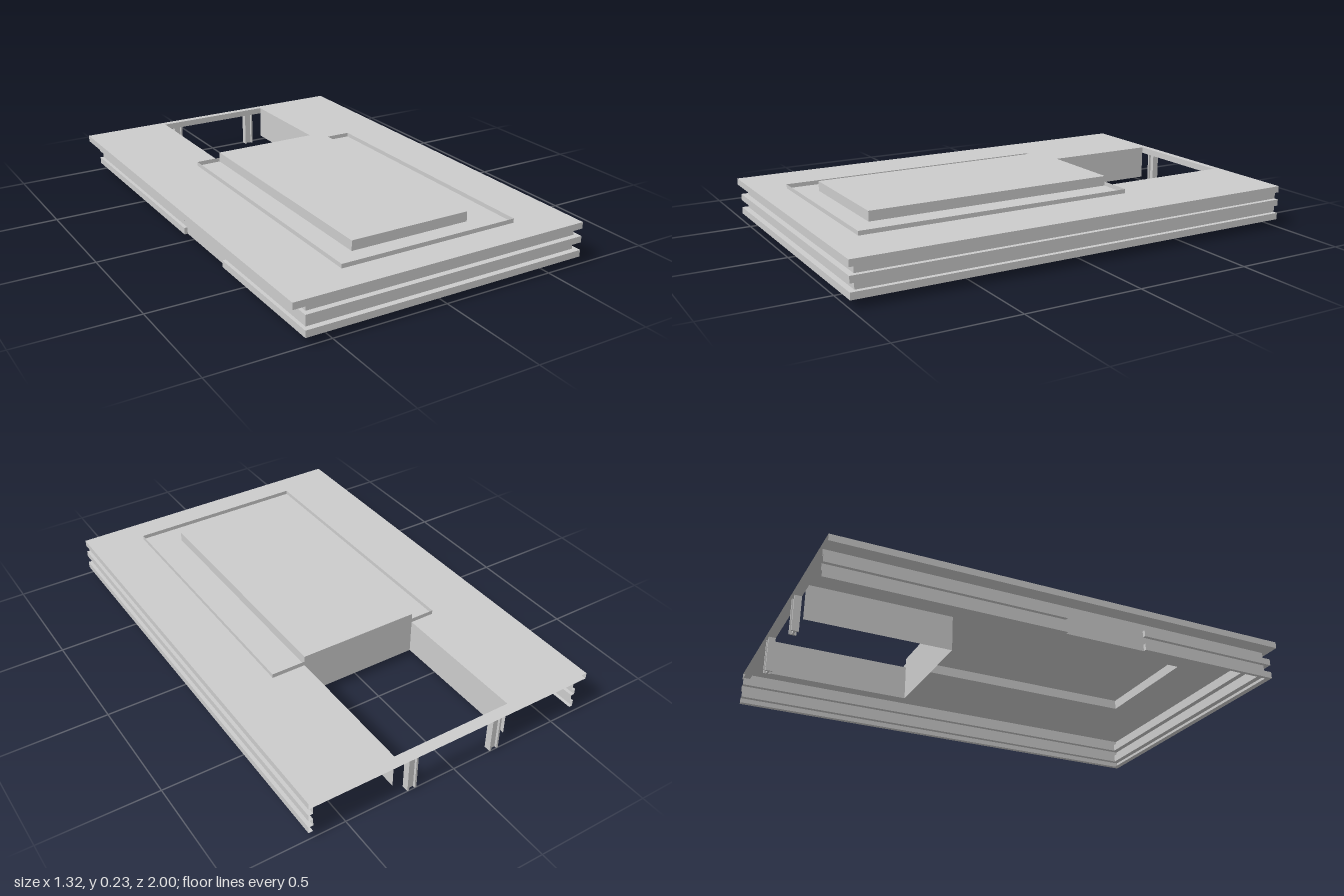
import * as THREE from 'three';

const mat = new THREE.MeshStandardMaterial({ color: 0xcccccc, flatShading: true, side: THREE.DoubleSide });

function add(parent, name, geo) {
  const mesh = new THREE.Mesh(geo, mat);
  mesh.name = name;
  parent.add(mesh);
  return mesh;
}

// Thin skin lofted through rings of [x, y, z] points
function loft(rings) {
  const pos = [];
  for (let r = 0; r + 1 < rings.length; r++) {
    for (let i = 0; i + 1 < rings[r].length; i++) {
      const a = rings[r][i], b = rings[r][i + 1];
      const c = rings[r + 1][i + 1], d = rings[r + 1][i];
      pos.push(...a, ...d, ...c, ...a, ...c, ...b);
    }
  }
  const geo = new THREE.BufferGeometry();
  geo.setAttribute('position', new THREE.Float32BufferAttribute(pos, 3));
  geo.computeVertexNormals();
  return geo;
}

// Vertical ribbon standing on a plan path of [x, z] points
const ribbon = (path, y0, y1) => loft([y1, y0].map(y => path.map(([x, z]) => [x, y, z])));

function rectPath(target, x0, x1, z0, z1) {
  return target.moveTo(x0, -z0).lineTo(x1, -z0).lineTo(x1, -z1).lineTo(x0, -z1).closePath();
}

// Flat sheet at height y, with optional rectangular holes
function sheet(rect, y, holes = []) {
  const shape = rectPath(new THREE.Shape(), ...rect);
  holes.forEach(h => shape.holes.push(rectPath(new THREE.Path(), ...h)));
  return new THREE.ShapeGeometry(shape).rotateX(-Math.PI / 2).translate(0, y, 0);
}

export function createModel() {
  const model = new THREE.Group();
  const top = 0.183, soffit = 0.155, base = 0.03;
  const hw = 0.27, courtBack = -0.97, courtFront = -0.35, blockFront = 0.76, blockTop = 0.226;

  // Roof deck, open above the courtyard and under the raised block
  add(model, 'roofDeck', sheet([-0.66, 0.66, -1, 1], top, [[-hw, hw, courtBack, blockFront]]));
  add(model, 'roofFascia', ribbon([[-0.66, -1], [-0.66, 1], [0.66, 1], [0.66, -1]], soffit, top));

  // Stepped wall on three sides, with a flat bay in the -x side
  const wallRing = ([xl, xr, zf, y]) => {
    const bay = xl === -0.66 ? xl : -0.595;
    return [[xl, -1], [xl, 0], [bay, 0], [bay, 0.36], [xl, 0.36], [xl, zf], [xr, zf], [xr, -1]]
      .map(([x, z]) => [x, y, z]);
  };
  const outer = y => [-0.61, 0.66, 1, y], inner = y => [-0.595, 0.64, 0.975, y];
  const profile = [
    [-0.66, 0.66, 1, soffit], inner(soffit), inner(0.123),
    outer(0.123), outer(0.095), inner(0.095), inner(0.062),
    outer(0.062), outer(0.033), inner(0.033),
  ];
  add(model, 'bandedWalls', loft(profile.map(wallRing)));

  // Courtyard lining
  add(model, 'courtyardWalls', ribbon(
    [[-hw, courtBack], [-hw, courtFront], [hw, courtFront], [hw, courtBack]], base, top));

  // Rear beam: lower plate and the face towards the courtyard
  add(model, 'rearBeamPlate', sheet([-0.66, 0.66, -1, courtBack], soffit));
  add(model, 'rearBeamFace', ribbon([[-hw, courtBack], [hw, courtBack]], soffit, top));

  // Raised roof block, hollow below
  add(model, 'raisedBlockTop', sheet([-hw, hw, courtFront, blockFront], blockTop));
  add(model, 'raisedBlockSides', ribbon(
    [[-hw, courtFront], [-hw, blockFront], [hw, blockFront], [hw, courtFront], [-hw, courtFront]],
    top, blockTop));

  // Low kerb around the block
  add(model, 'kerb', ribbon([
    [-hw, courtFront], [-0.38, courtFront], [-0.38, 0.865],
    [0.42, 0.865], [0.42, courtFront], [hw, courtFront],
  ], top, 0.201));

  // H-section posts under the rear beam
  for (const side of [-1, 1]) {
    const post = new THREE.Group();
    post.name = 'rearPost';
    for (const s of [-1, 1]) {
      add(post, 'postFlange', new THREE.BoxGeometry(0.008, soffit, 0.03)).position.x = s * 0.017;
    }
    add(post, 'postWeb', new THREE.BoxGeometry(0.028, soffit, 0.008));
    post.position.set(side * 0.2, soffit / 2, -0.985);
    model.add(post);
  }
  return model;
}
